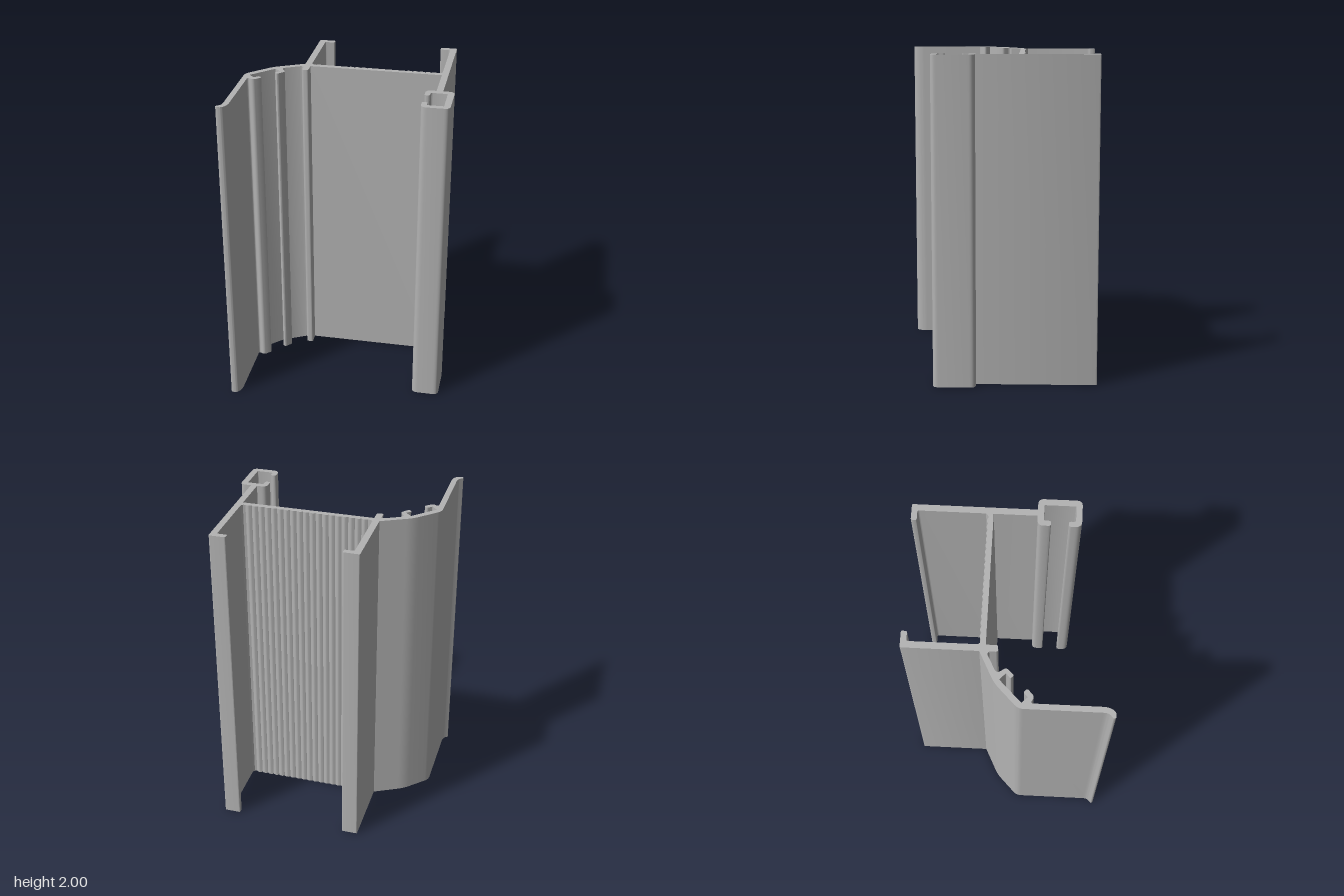
import * as THREE from 'three';
import { toCreasedNormals } from 'three/addons/utils/BufferGeometryUtils.js';

const HEIGHT = 2;

// Closed outline from [x, z, cornerRadius] points, drawn in plan
function outline(points) {
  const shape = new THREE.Shape();
  const n = points.length;
  const at = (i) => new THREE.Vector2(points[(i + n) % n][0], -points[(i + n) % n][1]);
  points.forEach(([, , r = 0], i) => {
    const p = at(i);
    const toward = (q) => {
      const d = q.clone().sub(p);
      return p.clone().add(d.setLength(Math.min(r, d.length() * 0.49)));
    };
    const a = r ? toward(at(i - 1)) : p;
    if (i === 0) shape.moveTo(a.x, a.y);
    else shape.lineTo(a.x, a.y);
    if (r) {
      const b = toward(at(i + 1));
      shape.quadraticCurveTo(p.x, p.y, b.x, b.y);
    }
  });
  shape.closePath();
  return shape;
}

export function createModel() {
  const group = new THREE.Group();
  const aluminium = new THREE.MeshStandardMaterial({ color: 0xb3b3b3 });
  aluminium.name = 'aluminiumGrey';

  // Extrude a plan outline upwards to full height
  const add = (name, points) => {
    const flat = new THREE.ExtrudeGeometry(outline(points), {
      depth: HEIGHT, bevelEnabled: false, curveSegments: 6,
    });
    flat.rotateX(-Math.PI / 2);
    const mesh = new THREE.Mesh(toCreasedNormals(flat, 0.6), aluminium);
    mesh.name = name;
    group.add(mesh);
  };

  // Wall with a returned lip at the back and a short rounded foot at the front
  add('innerWall', [
    [-0.305, -0.61, 0.008], [-0.205, -0.61, 0.008], [-0.205, -0.575, 0.008],
    [-0.265, -0.575, 0.012], [-0.265, -0.06, 0.012], [-0.305, -0.06, 0.012],
  ]);

  // Mirrored wall that runs forward to the clip channel
  add('outerWall', [
    [0.59, -0.61, 0.008], [0.488, -0.61, 0.008], [0.488, -0.575, 0.008],
    [0.55, -0.575, 0.012], [0.55, 0.13], [0.59, 0.13],
  ]);

  // Web between the walls, with small rounded ridges on its back
  const web = [[0.55, -0.13], [-0.265, -0.13], [-0.265, -0.175], [-0.255, -0.163], [-0.24, -0.16]];
  const ridges = 19, steps = 6, x0 = -0.235, x1 = 0.525;
  for (let i = 0; i <= ridges * steps; i++) {
    const bump = Math.abs(Math.sin((i / steps) * Math.PI));
    web.push([x0 + ((x1 - x0) * i) / (ridges * steps), -0.159 - 0.008 * bump]);
  }
  web.push([0.54, -0.163], [0.55, -0.175]);
  add('ridgedWeb', web);

  // C-shaped channel, open toward the left
  add('clipChannel', [
    [0.488, 0.126, 0.035], [0.66, 0.126, 0.035], [0.66, 0.386, 0.035], [0.488, 0.386, 0.04],
    [0.488, 0.308, 0.014], [0.521, 0.308, 0.014], [0.521, 0.35, 0.012], [0.621, 0.35, 0.004],
    [0.621, 0.163, 0.004], [0.521, 0.163, 0.012], [0.521, 0.205, 0.014], [0.488, 0.205, 0.014],
  ]);

  // Angled hood, long skirt and flared drip edge
  add('hoodAndSkirt', [
    [-0.3, -0.167], [-0.488, -0.073, 0.04], [-0.631, 0.067, 0.03],
    [-0.631, 0.565, 0.03], [-0.663, 0.592, 0.004], [-0.658, 0.606, 0.006],
    [-0.62, 0.606, 0.03], [-0.597, 0.562, 0.03],
    [-0.597, 0.085], [-0.47, -0.042], [-0.32, -0.12, 0.01], [-0.3, -0.105],
  ]);

  // Pair of small hooks gripping the inside of the hood
  add('upperHook', [
    [-0.475, -0.052], [-0.41, -0.08], [-0.427, -0.052, 0.015], [-0.395, -0.01, 0.02],
    [-0.439, 0.038, 0.014], [-0.459, 0.016, 0.012], [-0.428, -0.008, 0.006],
  ]);
  add('lowerHook', [
    [-0.605, 0.075], [-0.562, 0.119, 0.004], [-0.534, 0.091, 0.014], [-0.512, 0.113, 0.014],
    [-0.558, 0.156, 0.02], [-0.59, 0.137, 0.01], [-0.6, 0.148],
  ]);

  return group;
}
